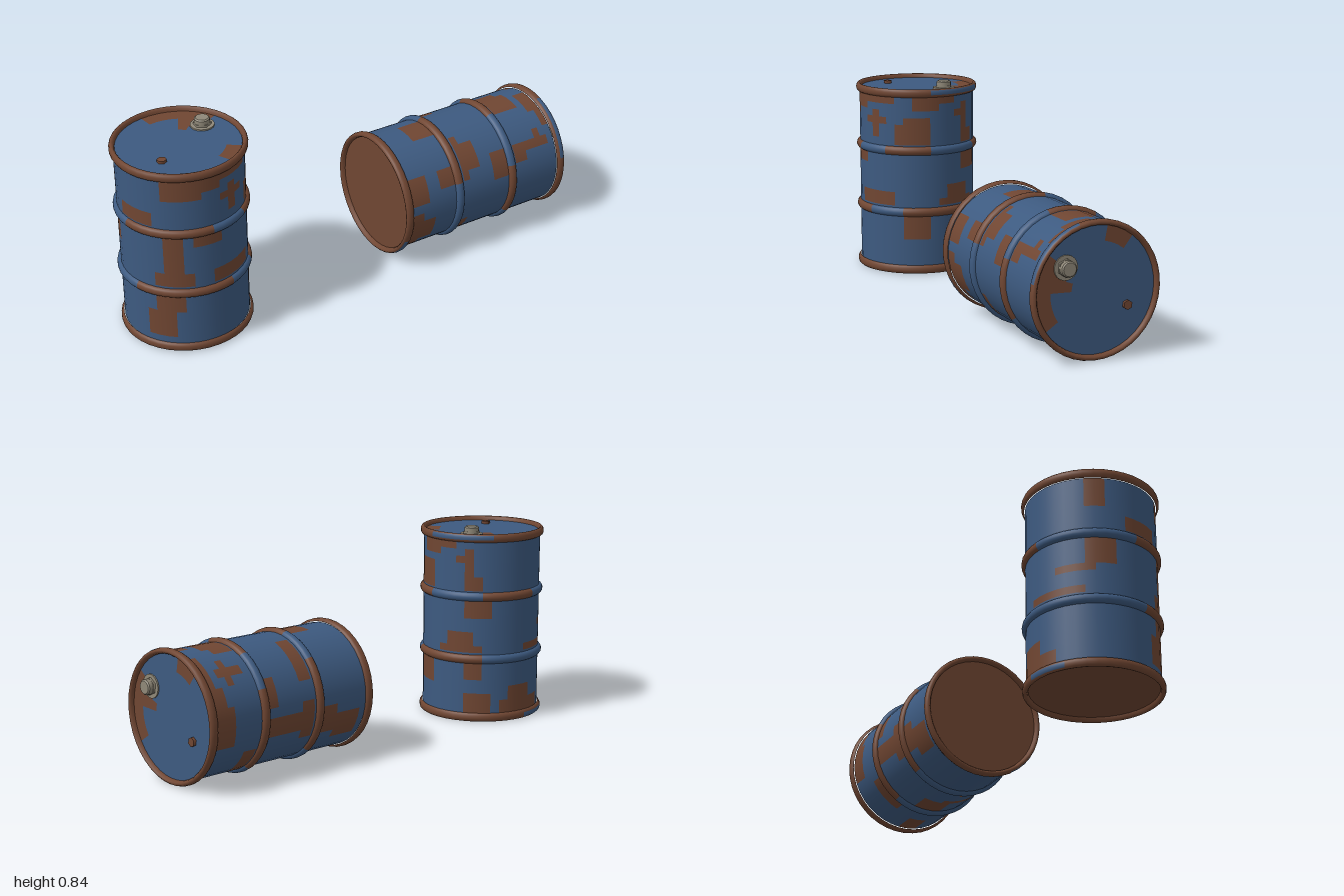
import * as THREE from 'three';

const H = 0.82, R = 0.253, COLS = 40, LID_Y = 0.802;
const deg = THREE.MathUtils.degToRad;
const V = (r, y) => new THREE.Vector2(r, y);

function material(name, color) {
  const m = new THREE.MeshStandardMaterial({ color });
  m.name = name;
  return m;
}

// Rust patches as [first column, last column, first row, last row];
// columns are 9 degrees wide, counted from +x towards +z.
const WALL_RUST = [
  // upper band
  [5, 8, 24, 24], [9, 14, 23, 24], [11, 14, 22, 22], [-2, 2, 24, 24], [0, 2, 23, 23],
  [-4, -4, 18, 23], [-3, -3, 22, 22], [-5, -5, 18, 19], [1, 3, 21, 21], [1, 4, 18, 20],
  [7, 7, 19, 22], [6, 8, 21, 21], [16, 19, 18, 19], [-18, -17, 21, 24],
  // middle band
  [13, 14, 11, 16], [9, 11, 15, 16], [5, 9, 9, 10], [12, 15, 9, 10], [-5, -1, 9, 9],
  [-4, -2, 10, 11], [-6, -4, 14, 16], [-19, -17, 13, 16], [-17, -14, 12, 12], [-16, -11, 9, 9],
  // lower band
  [13, 15, 5, 7], [14, 16, 1, 4], [1, 3, 4, 7], [-5, -4, 5, 7],
  [-6, -4, 0, 2], [-13, -8, 0, 1], [-11, -9, 2, 3],
];
const LOWER_HOOP_RUST = [[-5, 3, 0, 7], [8, 17, 0, 7]];
const UPPER_HOOP_RUST = [[1, 5, 0, 7], [10, 18, 0, 7], [-11, -6, 0, 7]];
// Lid rows run from the edge to the centre
const LID_RUST = [[-11, -8, 0, 0], [-7, -4, 0, 1], [-7, -6, 2, 2], [4, 6, 0, 0]];

const hits = (patches) => (col, row) => patches.some(([a, b, c, d]) =>
  row >= c && row <= d && (((col - a) % COLS) + COLS) % COLS <= b - a);

// Points along an elliptical arc, used for hoops and rims
function arc(r, y, rx, ry, from, to) {
  return Array.from({ length: 9 }, (_, i) => {
    const a = deg(from + (to - from) * i / 8);
    return V(r + rx * Math.cos(a), y + ry * Math.sin(a));
  });
}

// Surface of revolution whose cells are sorted into blue and rust groups
function skin(name, profile, isRust, mats) {
  const geo = new THREE.LatheGeometry(profile, COLS);
  const src = geo.index.array, rows = profile.length - 1;
  const sides = [[], []];
  for (let i = 0; i < COLS; i++) {
    for (let j = 0; j < rows; j++) {
      const at = (i * rows + j) * 6;
      sides[isRust(9 - i, j) ? 1 : 0].push(...src.slice(at, at + 6));
    }
  }
  geo.setIndex([...sides[0], ...sides[1]]);
  geo.addGroup(0, sides[0].length, 0);
  geo.addGroup(sides[0].length, sides[1].length, 1);
  const mesh = new THREE.Mesh(geo, [mats.blue, mats.rust]);
  mesh.name = name;
  return mesh;
}

function disc(name, r, bottom, top, sides, mat, x, z, rTop = r) {
  const geo = new THREE.CylinderGeometry(rTop, r, top - bottom, sides);
  const mesh = new THREE.Mesh(geo, mat);
  mesh.position.set(x, (bottom + top) / 2, z);
  mesh.name = name;
  return mesh;
}

function makeBarrel(name, mats) {
  const g = new THREE.Group();
  g.name = name;

  // Wall
  const wall = Array.from({ length: 26 }, (_, k) => V(R, 0.033 + 0.03 * k));
  g.add(skin('wall', wall, hits(WALL_RUST), mats));

  // Two rolling hoops
  const hoop = (y) => arc(R - 0.003, y, 0.018, 0.02, -90, 90);
  g.add(skin('lowerHoop', hoop(0.275), hits(LOWER_HOOP_RUST), mats));
  g.add(skin('upperHoop', hoop(0.548), hits(UPPER_HOOP_RUST), mats));

  // Rolled rims, the bottom one mirrored from the top one
  const rim = arc(0.2565, 0.8015, 0.0115, 0.0185, -90, 180);
  const topBare = hits([[-6, 0, 2, 3]]), bottomBare = hits([[-14, -11, 4, 5]]);
  g.add(skin('topRim', rim, (c, r) => !topBare(c, r), mats));
  g.add(skin('bottomRim', rim.map((p) => V(p.x, H - p.y)).reverse(),
    (c, r) => !bottomBare(c, r), mats));

  // Recessed lid and base
  const lid = [0.247, 0.186, 0.13, 0.1, 0].map((r) => V(r, LID_Y));
  g.add(skin('lid', lid, hits(LID_RUST), mats));
  g.add(skin('base', [V(0, 0.018), V(0.247, 0.018)], () => true, mats));

  // Large bung with its flange, and small vent plug
  const bx = 0.142, bz = -0.072;
  g.add(disc('bungFlange', 0.048, LID_Y - 0.004, LID_Y + 0.006, 20, mats.metal, bx, bz));
  g.add(disc('bungNut', 0.036, LID_Y, 0.817, 6, mats.metal, bx, bz));
  g.add(disc('bungCap', 0.031, 0.817, 0.833, 16, mats.metal, bx, bz));
  g.add(disc('bungCapTop', 0.031, 0.833, 0.838, 16, mats.metal, bx, bz, 0.026));
  g.add(disc('ventPlug', 0.019, LID_Y - 0.004, 0.814, 6, mats.rust, -0.118, 0.09));
  return g;
}

export function createModel() {
  const mats = {
    blue: material('blue paint', 0x3d5a80),
    rust: material('rust', 0x704632),
    metal: material('grey metal', 0x8f8878),
  };
  const model = new THREE.Group();
  model.name = 'barrels';

  const standing = makeBarrel('standingBarrel', mats);
  standing.position.set(-0.732, 0, 0);

  // Lying on its side with the lid towards +x, rolled about its axis
  const lying = makeBarrel('lyingBarrel', mats);
  lying.rotation.set(0, deg(-155), deg(-90), 'ZYX');
  lying.position.set(0.162, 0.268, 0);

  model.add(standing, lying);
  return model;
}
